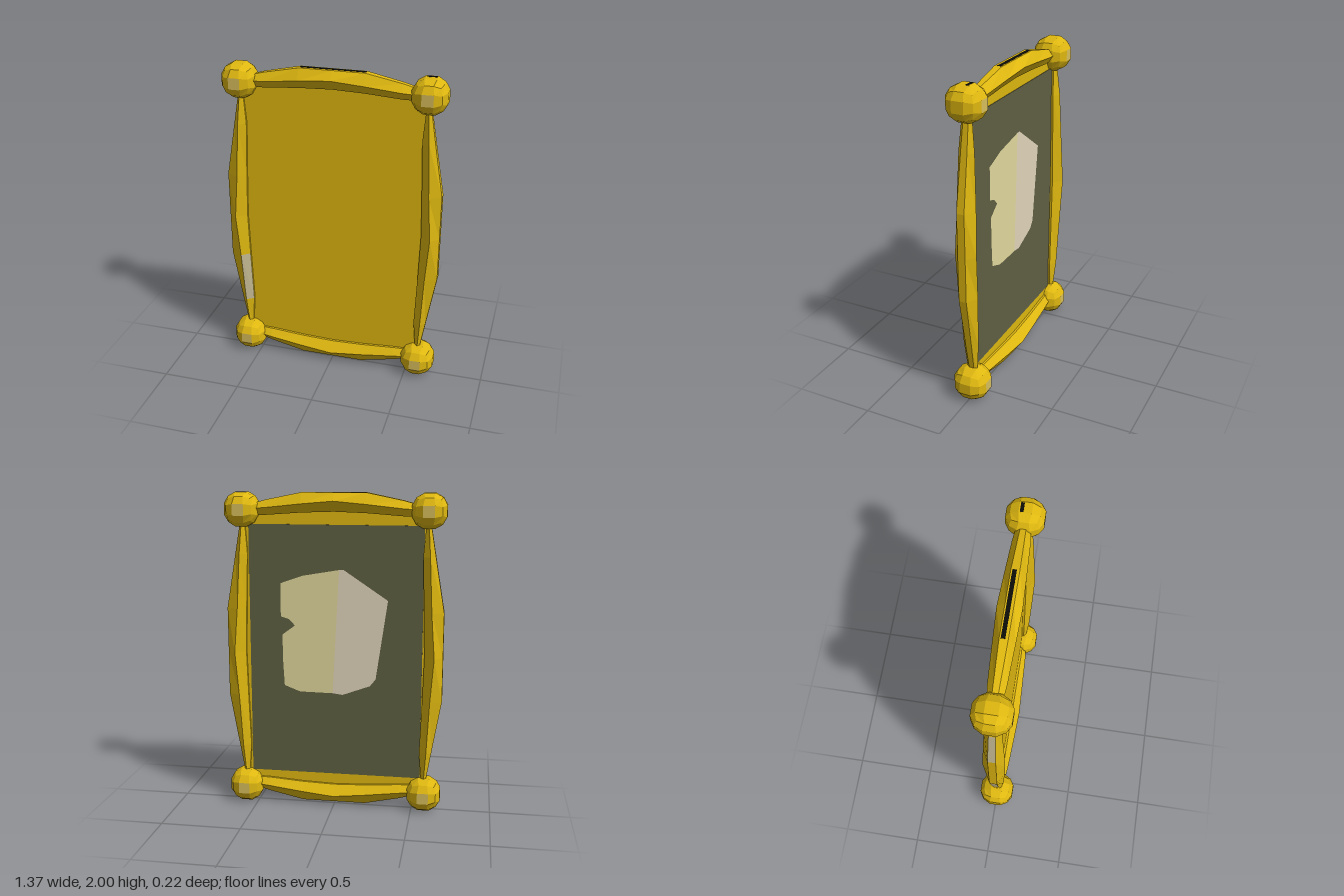
import * as THREE from 'three';

const mat = (name, color, side = THREE.FrontSide) => {
  const m = new THREE.MeshStandardMaterial({ color, side, flatShading: true });
  m.name = name;
  return m;
};

// Faceted rail running along y with its outer edge towards +x.
// Stations: [t, outer, ridge, inner, outer z, ridge z, inner z], mirrored about t = 0.
function railGeometry(half, paint = () => 0) {
  const stations = [...half, ...half.slice(0, -1).reverse().map(([t, ...r]) => [-t, ...r])];
  const rings = stations.map(([t, o, r, i, zo, zr, zi]) =>
    [[o, zo], [r, zr], [i, zi], [i, -zi], [r, -zr], [o, -zo]].map(([x, z]) => [x, t, z]));
  const pos = [];
  const geo = new THREE.BufferGeometry();
  for (let j = 0; j < rings.length - 1; j++) {
    for (let k = 0; k < 6; k++) {
      const n = (k + 1) % 6;
      const a = rings[j][k], b = rings[j][n], c = rings[j + 1][n], d = rings[j + 1][k];
      geo.addGroup(pos.length / 3, 6, paint(j, k));
      pos.push(...a, ...d, ...c, ...a, ...c, ...b);
    }
  }
  geo.setAttribute('position', new THREE.Float32BufferAttribute(pos, 3));
  geo.computeVertexNormals();
  return geo;
}

// Rounded cube ball, with the middle front and back facets in a second colour
function ballGeometry(radius) {
  const geo = new THREE.BoxGeometry(1, 1, 1, 3, 3, 3).toNonIndexed();
  const p = geo.attributes.position;
  const v = new THREE.Vector3();
  for (let i = 0; i < p.count; i++) {
    v.fromBufferAttribute(p, i).setLength(radius);
    p.setXYZ(i, v.x, v.y, v.z * 1.05);
  }
  geo.clearGroups();
  for (let q = 0; q < 54; q++) geo.addGroup(q * 6, 6, q >= 36 && q % 9 === 4 ? 1 : 0);
  geo.computeVertexNormals();
  return geo;
}

export function createModel() {
  const model = new THREE.Group();
  model.name = 'pictureFrame';
  const gold = mat('gold', 0xdfb810);
  const paleGold = mat('paleGold', 0xd9bf5c);
  const wornGrey = mat('wornGrey', 0xc4b992);
  const olive = mat('darkOlive', 0x5f6042, THREE.DoubleSide);
  const cream = mat('cream', 0xe2d99e, THREE.DoubleSide);
  const beige = mat('beige', 0xe2d6bc, THREE.DoubleSide);
  const black = mat('black', 0x0c0c08);

  const add = (name, geo, material, x = 0, y = 0, z = 0) => {
    const m = new THREE.Mesh(geo, material);
    m.name = name;
    m.position.set(x, y, z);
    model.add(m);
    return m;
  };

  // Side rails; the right one has worn facets
  const side = [
    [-0.84, 0.585, 0.575, 0.562, 0.015, 0.03, 0.015],
    [-0.62, 0.622, 0.59, 0.545, 0.02, 0.05, 0.02],
    [-0.28, 0.68, 0.607, 0.557, 0.024, 0.062, 0.02],
    [0, 0.68, 0.628, 0.565, 0.024, 0.07, 0.02],
  ];
  const worn = (seg, facet) =>
    (facet === 5 && (seg === 1 || seg === 4)) || (facet === 3 && seg === 1) ? 1 : 0;
  add('leftRail', railGeometry(side), [gold], 0, 1, 0);
  add('rightRail', railGeometry(side, worn).rotateY(Math.PI), [gold, wornGrey], 0, 1, 0);

  // Top and bottom rails
  const cross = [
    [-0.53, 0.925, 0.9, 0.86, 0.015, 0.04, 0.015],
    [-0.42, 0.955, 0.908, 0.862, 0.018, 0.052, 0.02],
    [-0.2, 1.0, 0.932, 0.878, 0.024, 0.062, 0.02],
    [0, 1.0, 0.95, 0.885, 0.024, 0.07, 0.02],
  ];
  add('topRail', railGeometry(cross).rotateZ(Math.PI / 2), [gold], 0, 1, 0);
  add('bottomRail', railGeometry(cross).rotateZ(-Math.PI / 2), [gold], 0, 1.02, 0);

  // Corner balls
  const ball = ballGeometry(0.116);
  for (const x of [-0.578, 0.578]) {
    for (const y of [0.105, 1.895]) add('cornerBall', ball, [gold, paleGold], x, y, 0);
  }

  // Dark marks on the top
  add('topMark', new THREE.BoxGeometry(0.4, 0.002, 0.024), black, 0, 2, -0.004);
  add('ballMark', new THREE.BoxGeometry(0.06, 0.002, 0.02), black, 0.578, 2, -0.02);

  // Panel, with a dark sheet on its back
  add('panel', new THREE.BoxGeometry(1.15, 1.77, 0.01), gold, 0, 1, 0);
  add('backSheet', new THREE.BoxGeometry(1.09, 1.6, 0.004), olive, -0.006, 1.005, -0.006);

  // Two-tone patch on the back sheet
  const patch = (name, points, material) => {
    const shape = new THREE.Shape(points.map(([x, y]) => new THREE.Vector2(-x, y)));
    add(name, new THREE.ShapeGeometry(shape).rotateY(Math.PI), material, 0, 0, -0.011);
  };
  patch('creamPatch', [
    [-0.03, 1.53], [0.2, 1.49], [0.34, 1.44], [0.34, 1.23], [0.29, 1.215], [0.25, 1.175],
    [0.33, 1.115], [0.33, 0.97], [0.32, 0.785], [0.22, 0.747], [0.01, 0.744],
  ], cream);
  patch('beigePatch', [
    [-0.03, 1.53], [0.01, 0.744], [-0.054, 0.736], [-0.227, 0.8], [-0.263, 0.845],
    [-0.335, 1.346], [-0.06, 1.53],
  ], beige);

  return model;
}
